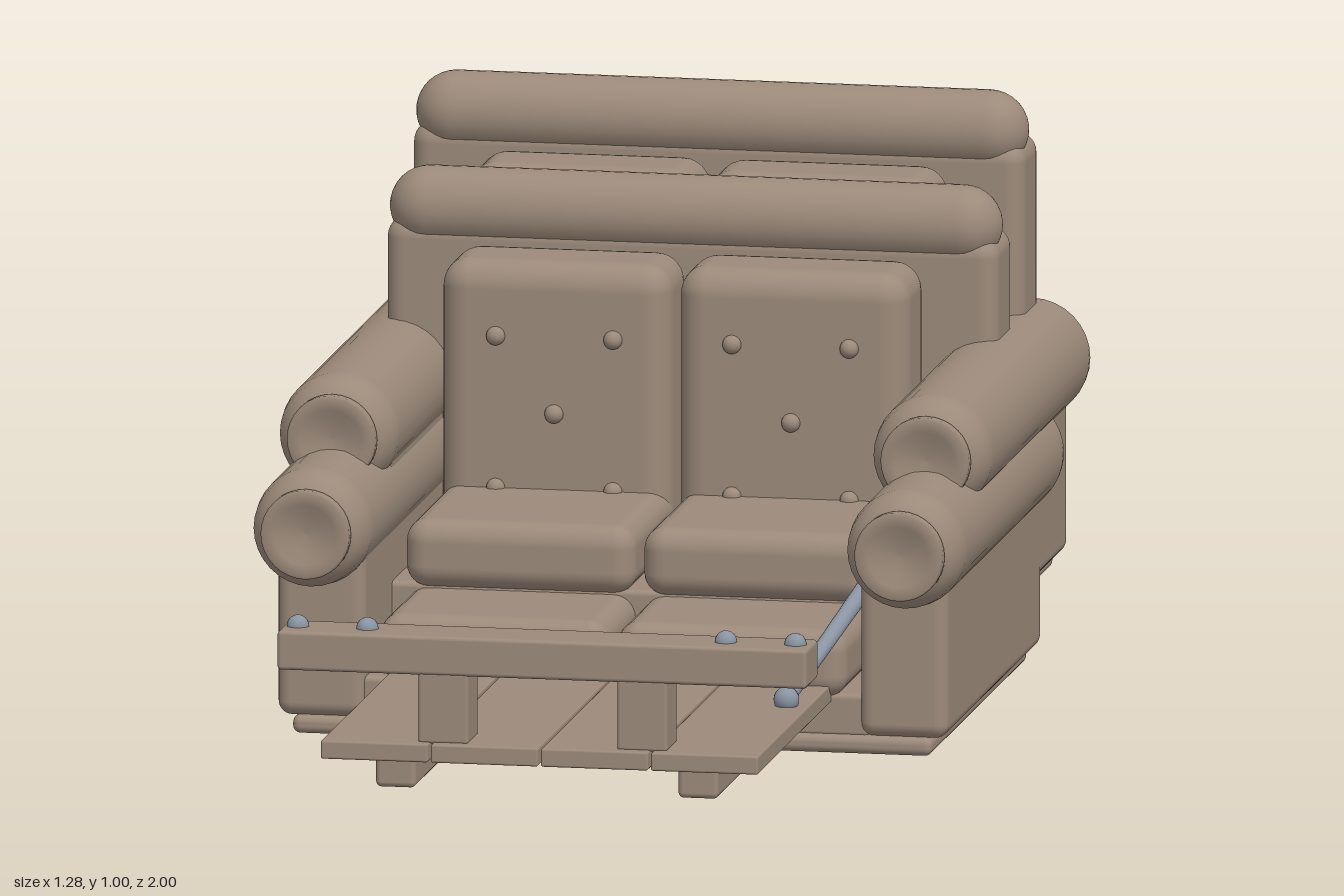
import * as THREE from 'three';
import { RoundedBoxGeometry } from 'three/addons/geometries/RoundedBoxGeometry.js';

const fabric = new THREE.MeshStandardMaterial({ color: 0x9c8a7a });
fabric.name = 'taupe';
const metal = new THREE.MeshStandardMaterial({ color: 0x8a94a3 });
metal.name = 'steel';

function add(parent, name, geometry, material, x = 0, y = 0, z = 0) {
  const mesh = new THREE.Mesh(geometry, material);
  mesh.name = name;
  mesh.position.set(x, y, z);
  parent.add(mesh);
  return mesh;
}

// Box given by its limits on each axis; r rounds the edges
function block(parent, name, [x0, x1], [y0, y1], [z0, z1], r = 0) {
  const w = x1 - x0, h = y1 - y0, d = z1 - z0;
  const geo = r ? new RoundedBoxGeometry(w, h, d, 4, r) : new THREE.BoxGeometry(w, h, d);
  return add(parent, name, geo, fabric, (x0 + x1) / 2, (y0 + y1) / 2, (z0 + z1) / 2);
}

// Arm roll: domed back, shouldered front with a dished end cap (axis along z)
function armRollGeometry() {
  const r = 0.106;
  const pts = [];
  for (let i = 0; i <= 8; i++) {
    const a = (i / 8) * Math.PI / 2;
    pts.push(new THREE.Vector2(r * Math.sin(a), -0.555 - r * Math.cos(a)));
  }
  const front = [[r, 0.34], [r, 0.345], [0.102, 0.375], [0.09, 0.395], [0.076, 0.405],
    [0.076, 0.405], [0.08, 0.41], [0.08, 0.425], [0.076, 0.43], [0.055, 0.43], [0.036, 0.418], [0, 0.415]];
  front.forEach(([a, b]) => pts.push(new THREE.Vector2(a, b)));
  return new THREE.LatheGeometry(pts, 32).rotateX(Math.PI / 2);
}

function createSofa(name) {
  const sofa = new THREE.Group();
  sofa.name = name;
  block(sofa, 'basePlate', [-0.575, 0.575], [0.003, 0.036], [-0.56, 0.335], 0.014);
  block(sofa, 'seatRail', [-0.46, 0.46], [0.03, 0.108], [-0.55, 0.32], 0.01);
  block(sofa, 'backrest', [-0.55, 0.55], [0.06, 0.79], [-0.56, -0.397], 0.035);

  // Top bolster
  const bolster = new THREE.CapsuleGeometry(0.071, 0.958, 8, 28).rotateZ(Math.PI / 2);
  add(sofa, 'topBolster', bolster, fabric, 0, 0.807, -0.455);

  const rollGeo = armRollGeometry();
  for (const s of [-1, 1]) {
    const span = (a, b) => (s > 0 ? [a, b] : [-b, -a]);
    block(sofa, 'armPanel', span(0.445, 0.603), [0.034, 0.38], [-0.555, 0.335], 0.025);
    add(sofa, 'armRoll', rollGeo, fabric, s * 0.534, 0.379, 0);
    block(sofa, 'seatCushion', span(0.007, 0.42), [0.1, 0.223], [-0.3, 0.345], 0.04);
    block(sofa, 'backCushion', span(0.007, 0.42), [0.2, 0.752], [-0.42, -0.23], 0.05);
    // Tufting buttons
    for (const [x, y] of [[0.107, 0.62], [0.318, 0.62], [0.213, 0.483], [0.107, 0.347], [0.318, 0.347]]) {
      add(sofa, 'button', new THREE.SphereGeometry(0.017, 14, 10), fabric, s * x, y, -0.23);
    }
  }
  return sofa;
}

function createPlatform() {
  const deck = new THREE.Group();
  deck.name = 'platform';
  // Floor boards
  for (let i = 0; i < 4; i++) {
    const x = -0.395 + i * 0.198;
    block(deck, 'floorBoard', [x, x + 0.193], [0.092, 0.125], [-0.995, 1], 0.004);
  }
  block(deck, 'rearCrossPlank', [-0.397, 0.393], [0.126, 0.153], [-1, -0.9], 0.004);
  for (const s of [-1, 1]) {
    block(deck, 'runner', [s * 0.272 - 0.036, s * 0.272 + 0.036], [0.033, 0.092], [-0.935, 0.94], 0.01);
    block(deck, 'barPost', [s * 0.179 - 0.045, s * 0.179 + 0.045], [0.122, 0.25], [0.882, 0.978], 0.006);
  }
  // Front bar with studs
  block(deck, 'frontBar', [-0.477, 0.475], [0.245, 0.315], [0.87, 0.98], 0.007);
  for (const x of [-0.45, -0.325, 0.32, 0.445]) {
    add(deck, 'stud', new THREE.SphereGeometry(0.02, 16, 12), metal, x, 0.315, 0.925);
  }
  return deck;
}

// Rod with a ball at its lower end
function createLever() {
  const lever = new THREE.Group();
  lever.name = 'lever';
  const a = new THREE.Vector3(0.352, 0.136, 0.528);
  const b = new THREE.Vector3(0.435, 0.285, 0.2);
  const dir = b.clone().sub(a);
  const mid = a.clone().add(b).multiplyScalar(0.5);
  const rod = add(lever, 'leverRod', new THREE.CylinderGeometry(0.016, 0.013, dir.length(), 16), metal, mid.x, mid.y, mid.z);
  rod.quaternion.setFromUnitVectors(new THREE.Vector3(0, 1, 0), dir.normalize());
  add(lever, 'leverKnob', new THREE.SphereGeometry(0.023, 16, 12), metal, a.x, a.y, a.z);
  return lever;
}

export function createModel() {
  const model = new THREE.Group();
  model.name = 'tieredSofas';
  const frontSofa = createSofa('frontSofa');
  const rearSofa = createSofa('rearSofa');
  rearSofa.position.set(0, 0.124, -0.244);
  model.add(frontSofa, rearSofa, createPlatform(), createLever());
  return model;
}
